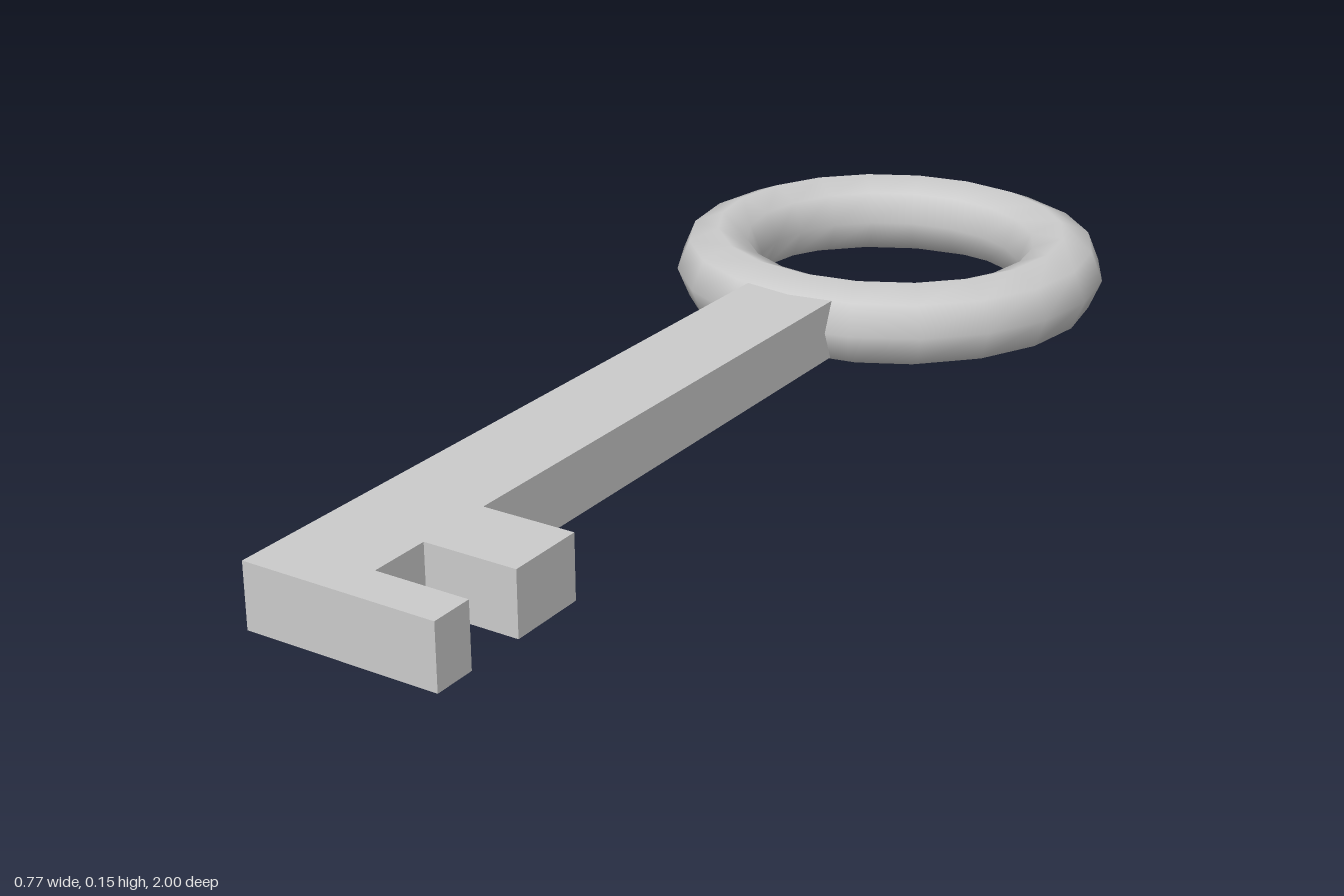
import * as THREE from 'three';

export function createModel() {
  const key = new THREE.Group();
  key.name = 'key';
  const material = new THREE.MeshStandardMaterial({ color: 0xcccccc });

  // Ring handle, lying flat at the back
  const ringTube = 0.074;
  const ringGeometry = new THREE.TorusGeometry(0.311, ringTube, 8, 20);
  ringGeometry.rotateX(-Math.PI / 2);
  const ring = new THREE.Mesh(ringGeometry, material);
  ring.name = 'ringHandle';
  ring.position.set(0, ringTube, -0.615);
  key.add(ring);

  // Shaft and two teeth as one outline in (x, z); the back end sits inside the ring
  const outline = [
    [-0.087, 1], [0.23, 1], [0.23, 0.93], [0.078, 0.93],
    [0.078, 0.83], [0.23, 0.83], [0.23, 0.7], [0.078, 0.7],
    [0.078, -0.29], [-0.087, -0.29],
  ];
  const shape = new THREE.Shape(outline.map(([x, z]) => new THREE.Vector2(x, -z)));
  const shaftGeometry = new THREE.ExtrudeGeometry(shape, { depth: 0.102, bevelEnabled: false });
  shaftGeometry.rotateX(-Math.PI / 2);
  const shaft = new THREE.Mesh(shaftGeometry, material);
  shaft.name = 'shaftWithTeeth';
  shaft.position.y = 0.024;
  key.add(shaft);

  return key;
}
